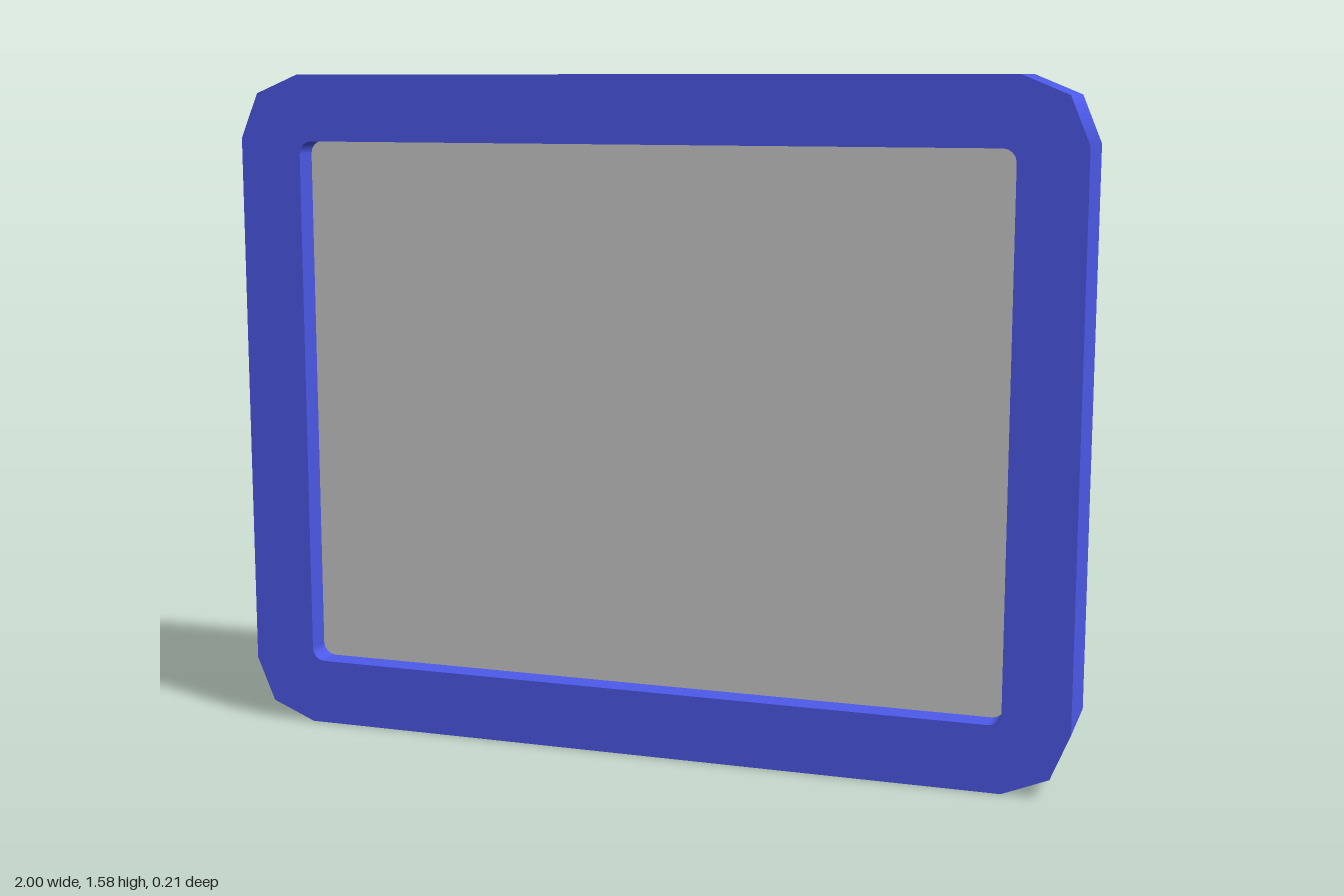
import * as THREE from 'three';

const BACK = -0.105, FRONT = 0.105, SCREEN = 0.045;
const CENTER_Y = 0.79;

// Counter-clockwise rounded rectangle; each point keeps its outward normal
function roundedLoop(halfW, halfH, radius, steps) {
  const loop = [];
  [[1, 1], [-1, 1], [-1, -1], [1, -1]].forEach(([sx, sy], corner) => {
    for (let i = 0; i <= steps; i++) {
      const a = (corner + i / steps) * Math.PI / 2;
      const normal = new THREE.Vector2(Math.cos(a), Math.sin(a));
      const point = new THREE.Vector2(sx * (halfW - radius), sy * (halfH - radius)).addScaledVector(normal, radius);
      loop.push({ point, normal });
    }
  });
  return loop;
}

// Smooth wall following a loop from z0 to z1; side is 1 facing out, -1 facing in
function wallGeometry(loop, z0, z1, side) {
  const positions = [], normals = [], index = [];
  loop.forEach(({ point: p, normal: n }, i) => {
    positions.push(p.x, p.y, z0, p.x, p.y, z1);
    normals.push(n.x * side, n.y * side, 0, n.x * side, n.y * side, 0);
    const a = 2 * i, b = 2 * ((i + 1) % loop.length);
    if (side > 0) index.push(a, b, b + 1, a, b + 1, a + 1);
    else index.push(a, b + 1, b, a, a + 1, b + 1);
  });
  const geometry = new THREE.BufferGeometry();
  geometry.setAttribute('position', new THREE.Float32BufferAttribute(positions, 3));
  geometry.setAttribute('normal', new THREE.Float32BufferAttribute(normals, 3));
  geometry.setIndex(index);
  return geometry;
}

const toShape = (loop) => new THREE.Shape(loop.map((v) => v.point));

export function createModel() {
  const model = new THREE.Group();
  model.name = 'framedScreen';
  const blue = new THREE.MeshStandardMaterial({ color: 0x4d5aea });
  const grey = new THREE.MeshStandardMaterial({ color: 0xcccccc });

  function add(name, geometry, material, z = 0) {
    const mesh = new THREE.Mesh(geometry, material);
    mesh.name = name;
    mesh.position.set(0, CENTER_Y, z);
    model.add(mesh);
    return mesh;
  }

  const outer = roundedLoop(1, 0.79, 0.15, 2);
  const inner = roundedLoop(0.847, 0.634, 0.03, 4);

  // Frame face with the screen opening
  const face = toShape(outer);
  face.holes.push(toShape(inner));
  add('frameFace', new THREE.ShapeGeometry(face), blue, FRONT);

  // Outer rim and the inner walls of the recess
  add('outerRim', wallGeometry(outer, BACK, FRONT, 1), blue);
  add('recessWall', wallGeometry(inner, SCREEN, FRONT, -1), blue);

  // Closed back, turned to face -z
  add('backPanel', new THREE.ShapeGeometry(toShape(outer)), blue, BACK).rotation.y = Math.PI;

  // Recessed screen
  add('screen', new THREE.ShapeGeometry(toShape(inner)), grey, SCREEN);

  return model;
}
